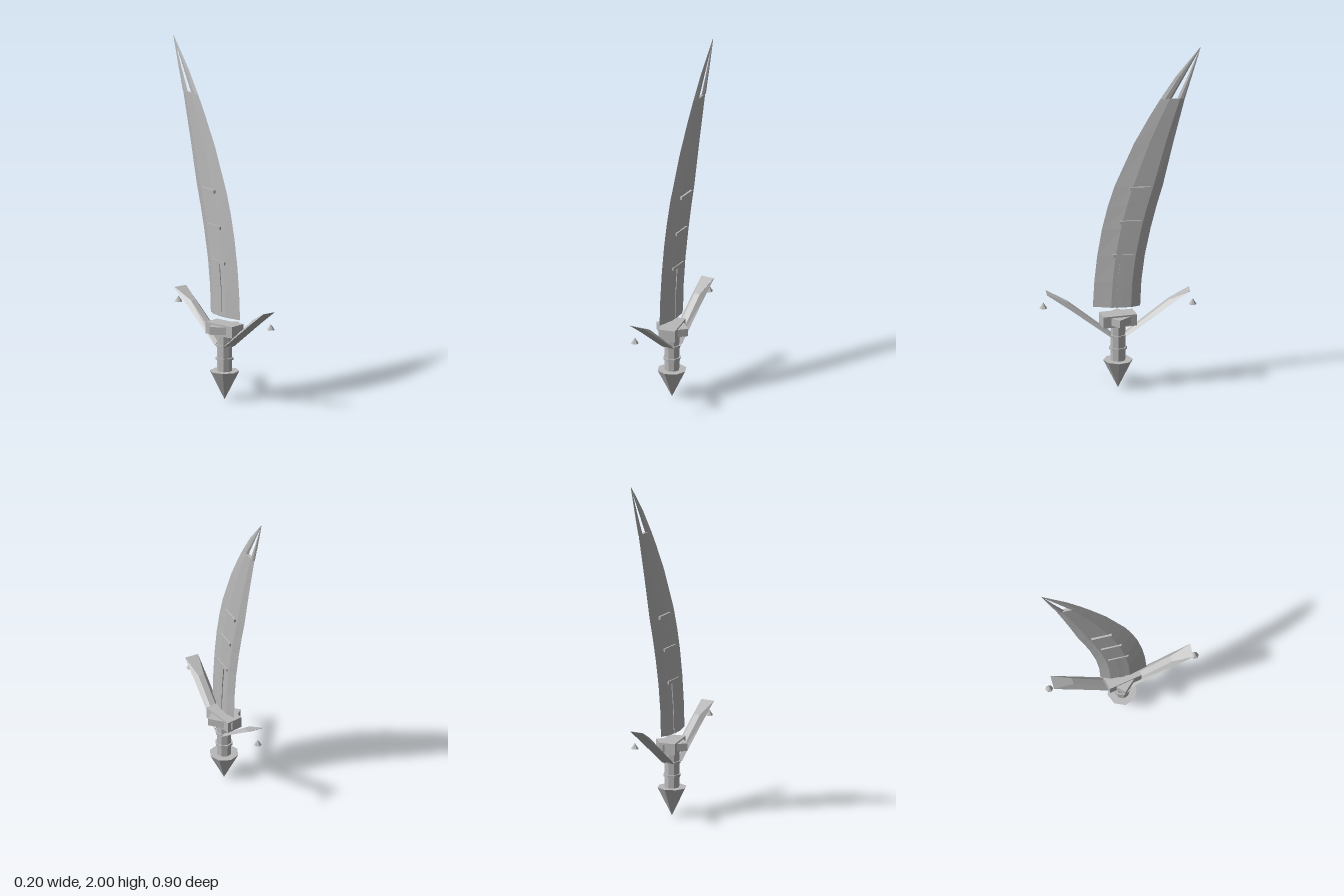
import * as THREE from 'three';

const steel = new THREE.MeshStandardMaterial({ color: 0xb8b8b8, flatShading: true });
steel.name = 'grey steel';

// Closed solid through a series of rings (counter-clockwise seen from the far end)
function loft(rings) {
  const n = rings[0].length, pos = rings.flat(2), idx = [];
  const top = (rings.length - 1) * n;
  for (let r = 0; r < rings.length - 1; r++) {
    for (let i = 0; i < n; i++) {
      const a = r * n + i, b = r * n + (i + 1) % n;
      idx.push(a, b, b + n, a, b + n, a + n);
    }
  }
  for (let i = 1; i < n - 1; i++) idx.push(0, i + 1, i, top, top + i, top + i + 1);
  const g = new THREE.BufferGeometry();
  g.setAttribute('position', new THREE.Float32BufferAttribute(pos, 3));
  g.setIndex(idx);
  const flat = g.toNonIndexed();
  flat.computeVertexNormals();
  return flat;
}

// Blade cross-section: sharp front edge, flat cheeks, bevelled back
function bladeRing([y, front, back, t]) {
  const a = front + (back - front) * 0.38, b = front + (back - front) * 0.8;
  return [[0, y, front], [t, y, a], [t * 0.9, y, b], [0, y, back], [-t * 0.9, y, b], [-t, y, a]];
}

export function createModel() {
  const model = new THREE.Group();
  const add = (name, geometry, x = 0, y = 0, z = 0, parent = model) => {
    const mesh = new THREE.Mesh(geometry, steel);
    mesh.name = name;
    mesh.position.set(x, y, z);
    parent.add(mesh);
    return mesh;
  };
  const axis = 0.016;

  // Curved blade: height, front edge, back edge, half thickness
  add('blade', loft([
    [0.48, 0.156, -0.108, 0.026],
    [0.63, 0.148, -0.115, 0.025],
    [0.78, 0.132, -0.134, 0.023],
    [0.94, 0.105, -0.167, 0.021],
    [1.07, 0.073, -0.2, 0.019],
    [1.19, 0.035, -0.235, 0.017],
    [1.44, -0.074, -0.293, 0.013],
    [1.6, -0.162, -0.333, 0.011],
    [1.7, -0.222, -0.358, 0.009],
  ].map(bladeRing)));

  // Two prongs around the slot, meeting at the tip
  add('frontProng', loft([
    [1.7, -0.222, -0.285, 0.009],
    [1.83, -0.308, -0.356, 0.006],
    [1.97, -0.42, -0.432, 0.002],
    [2, -0.444, -0.446, 0.0005],
  ].map(bladeRing)));
  add('backProng', loft([
    [1.7, -0.316, -0.358, 0.009],
    [1.83, -0.374, -0.397, 0.006],
    [1.97, -0.432, -0.438, 0.002],
    [2, -0.444, -0.446, 0.0005],
  ].map(bladeRing)));

  // Raised rib on the lower blade
  add('bladeRib', loft([[0.48, 0.011], [0.63, 0.003], [0.785, -0.015]].map(([y, z]) => [
    [-0.028, y, z + 0.017], [0.028, y, z + 0.017], [0.028, y, z - 0.017], [-0.028, y, z - 0.017],
  ])));

  // Straps across the blade
  for (const [y, z] of [[0.785, -0.011], [0.982, -0.051], [1.18, -0.106]]) {
    add('bladeStrap', new THREE.BoxGeometry(0.056, 0.018, 0.116), 0, y, z);
  }

  // Guard blocks
  add('guardBlock', new THREE.BoxGeometry(0.097, 0.066, 0.194), 0, 0.405, axis).rotation.y = 0.2;
  add('guardDiamond', new THREE.BoxGeometry(0.144, 0.044, 0.144), 0, 0.407, 0.012).rotation.y = Math.PI / 4;

  // Guard wings with hanging studs, one forward and one back
  for (const turn of [0, Math.PI]) {
    const side = new THREE.Group();
    side.name = turn ? 'backGuard' : 'frontGuard';
    side.position.z = axis;
    side.rotation.y = turn;
    model.add(side);
    // distance out, bottom height, ridge lift, ridge half width
    add('guardWing', loft([
      [0.04, 0.308, 0.018, 0.017],
      [0.282, 0.487, 0.028, 0.017],
      [0.4, 0.57, 0.002, 0.04],
    ].map(([z, y, lift, w]) => [[-0.04, y, z], [0.04, y, z], [w, y + lift, z], [-w, y + lift, z]])), 0, 0, 0, side);
    add('guardStud', new THREE.ConeGeometry(0.022, 0.034, 6), 0, 0.497, 0.417, side);
  }

  // Grip, rings and pointed pommel
  add('grip', new THREE.CylinderGeometry(0.042, 0.042, 0.22, 8), 0, 0.27, axis);
  for (const y of [0.235, 0.31]) {
    add('gripRing', new THREE.CylinderGeometry(0.05, 0.05, 0.013, 8), 0, y, axis);
  }
  const pommel = add('pommel', new THREE.ConeGeometry(0.083, 0.165, 8), 0, 0.0825, axis);
  pommel.rotation.x = Math.PI;

  return model;
}
